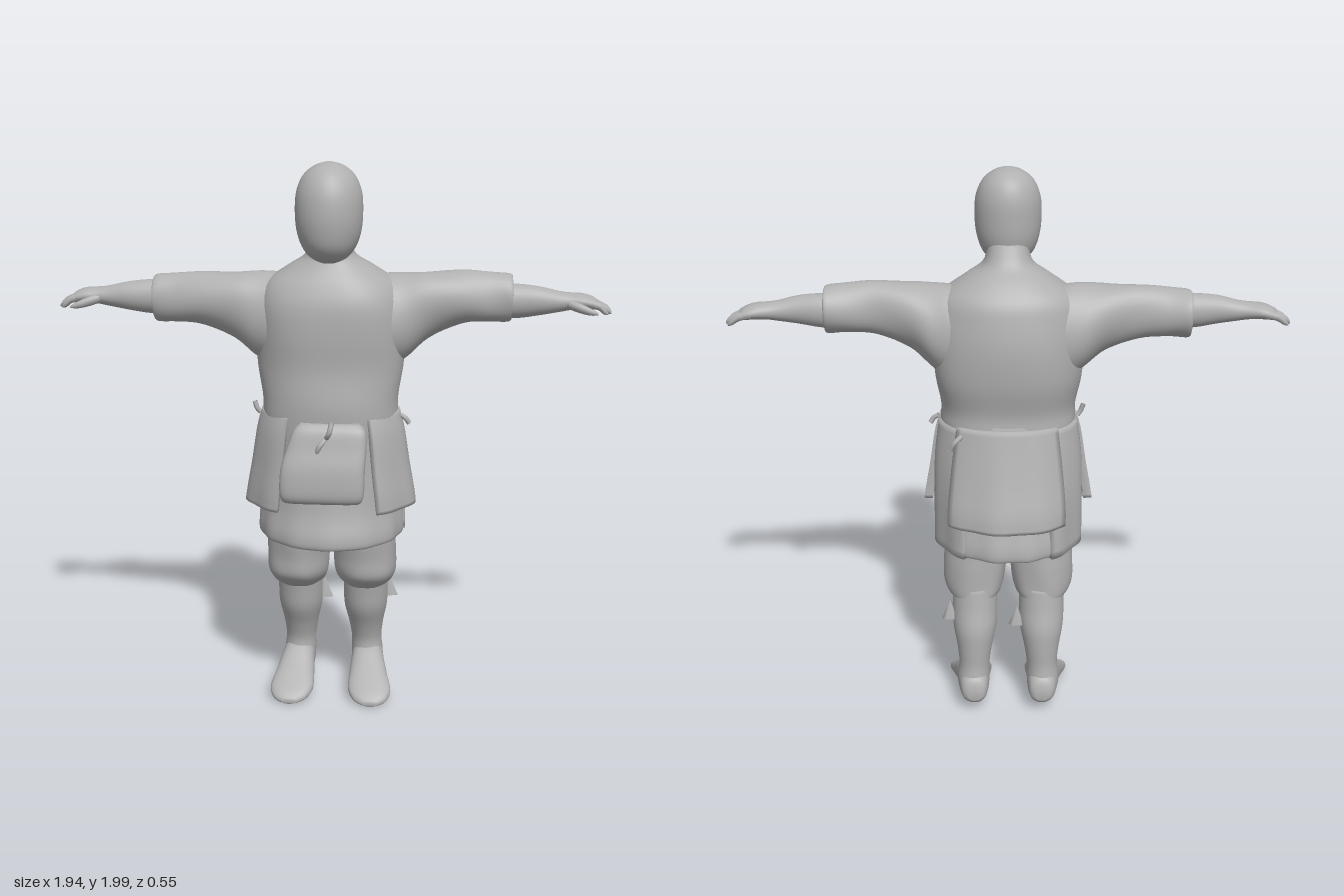
import * as THREE from 'three';

const cloth = new THREE.MeshStandardMaterial({ color: 0xb0b0b0, side: THREE.DoubleSide });
cloth.name = 'plain grey';

// Catmull-Rom interpolation of section rows
function blend(rows, t) {
  const n = rows.length - 1, i = Math.min(Math.floor(t * n), n - 1), f = t * n - i;
  const [p, q, r, s] = [-1, 0, 1, 2].map(k => rows[Math.max(0, Math.min(n, i + k))]);
  return q.map((b, k) => 0.5 * (2 * b + (r[k] - p[k]) * f + (2 * p[k] - 5 * b + 4 * r[k] - s[k]) * f * f
    + (3 * b - p[k] - 3 * r[k] + s[k]) * f * f * f));
}

// Closed skin over rings; point(t, u) gives a position, faces are turned outwards
function skin(name, point, rings = 28, sides = 32) {
  const pos = [], idx = [];
  for (let i = 0; i <= rings; i++)
    for (let j = 0; j < sides; j++) pos.push(...point(i / rings, j / sides));
  for (let i = 0; i < rings; i++)
    for (let j = 0; j < sides; j++) {
      const a = i * sides + j, b = i * sides + (j + 1) % sides;
      idx.push(a, b, a + sides, b, b + sides, a + sides);
    }
  for (const i of [0, rings]) {
    const c = [0, 0, 0], hub = pos.length / 3;
    for (let j = 0; j < sides; j++) for (let k = 0; k < 3; k++) c[k] += pos[(i * sides + j) * 3 + k] / sides;
    pos.push(...c);
    for (let j = 0; j < sides; j++) {
      const a = i * sides + j, b = i * sides + (j + 1) % sides;
      idx.push(...(i ? [a, b, hub] : [b, a, hub]));
    }
  }
  let volume = 0;
  const v = i => new THREE.Vector3().fromArray(pos, i * 3);
  for (let i = 0; i < idx.length; i += 3) volume += v(idx[i]).dot(v(idx[i + 1]).cross(v(idx[i + 2])));
  if (volume < 0) idx.reverse();
  const g = new THREE.BufferGeometry();
  g.setAttribute('position', new THREE.Float32BufferAttribute(pos, 3));
  g.setIndex(idx);
  g.computeVertexNormals();
  const m = new THREE.Mesh(g, cloth);
  m.name = name;
  return m;
}

// Loft along an axis; rows are [cx, cy, cz, radiusA, radiusB]
function loft(name, axis, rows, { side = 1, power = 1, fold = () => 0, rings = 28, sides = 32 } = {}) {
  const bend = c => Math.sign(c) * Math.abs(c) ** power;
  return skin(name, (t, u) => {
    const [x, y, z, ra, rb] = blend(rows, t), w = u * Math.PI * 2, k = 1 + fold(t, w);
    const a = bend(Math.sin(w)) * ra * k, b = bend(Math.cos(w)) * rb * k;
    const p = axis === 'y' ? [x + a, y, z + b] : axis === 'x' ? [x, y + a, z + b] : [x + a, y + b, z];
    return [p[0] * side, p[1], p[2]];
  }, rings, sides);
}

// Curved hanging cloth panel between two angles; rows are [y, cz, radiusX, radiusZ]
function panel(name, from, to, rows, side = 1, thick = 0.03) {
  return skin(name, (t, u) => {
    const [y, cz, rx, rz] = blend(rows, t);
    const outer = u < 0.5, s = outer ? u / 0.47 : (1 - u) / 0.5;
    const w = THREE.MathUtils.degToRad(from + (to - from) * Math.min(1, s));
    const d = (outer ? 0 : thick) - 0.004 * Math.sin(w * 11) * t;
    return [side * (rx - d) * Math.sin(w), y, cz + (rz - d) * Math.cos(w)];
  }, 14, 36);
}

export function createModel() {
  const g = new THREE.Group();
  g.name = 'robedFigure';

  g.add(loft('head', 'y', [
    [0, 1.665, 0.1, 0.03, 0.035], [0, 1.685, 0.105, 0.065, 0.07], [0, 1.72, 0.1, 0.092, 0.105],
    [0, 1.77, 0.1, 0.109, 0.12], [0, 1.83, 0.101, 0.115, 0.124], [0, 1.9, 0.098, 0.111, 0.118],
    [0, 1.955, 0.094, 0.088, 0.094], [0, 1.988, 0.092, 0.048, 0.052], [0, 2, 0.092, 0.006, 0.006]]));

  g.add(loft('tunic', 'y', [
    [0, 1.03, 0.015, 0.235, 0.18], [0, 1.12, 0.018, 0.24, 0.185], [0, 1.19, 0.02, 0.24, 0.184],
    [0, 1.3, 0.004, 0.258, 0.19], [0, 1.42, 0.005, 0.262, 0.196], [0, 1.52, 0.01, 0.255, 0.187],
    [0, 1.59, 0.008, 0.225, 0.165], [0, 1.645, 0.015, 0.15, 0.125], [0, 1.69, 0.035, 0.085, 0.088],
    [0, 1.76, 0.055, 0.07, 0.07]],
    { power: 0.88, rings: 40, sides: 48, fold: (t, w) => 0.008 * Math.sin(5 * w + 9 * t) * Math.sin(Math.PI * t) }));

  // Pleated underskirt with a hem turned inwards
  g.add(loft('underskirt', 'y', [
    [0, 1.15, 0.016, 0.235, 0.182], [0, 1.05, 0.01, 0.243, 0.195], [0, 0.93, 0, 0.248, 0.21],
    [0, 0.8, -0.008, 0.252, 0.23], [0, 0.71, -0.008, 0.262, 0.252], [0, 0.67, -0.008, 0.254, 0.245],
    [0, 0.685, -0.008, 0.2, 0.2], [0, 0.74, -0.008, 0.18, 0.17]],
    { rings: 36, sides: 96, fold: (t, w) => 0.022 * t * Math.sin(13 * w + 1) * (1 - 0.7 * Math.max(0, Math.cos(w))) }));

  // Overskirt panels
  for (const s of [1, -1])
    g.add(panel(s > 0 ? 'leftSidePanel' : 'rightSidePanel', 34, 87, [
      [1.14, 0.015, 0.245, 0.195], [1.07, 0.015, 0.265, 0.215], [0.95, 0.01, 0.285, 0.235],
      [0.86, 0.005, 0.302, 0.25], [0.8, 0, 0.312, 0.255]], s));
  g.add(panel('backPanel', 134, 224, [
    [1.14, 0, 0.25, 0.185], [1.06, 0, 0.265, 0.205], [0.95, 0, 0.283, 0.235],
    [0.85, -0.005, 0.295, 0.26], [0.79, -0.005, 0.295, 0.27]]));
  for (const s of [1, -1])
    g.add(panel(s > 0 ? 'leftRearPanel' : 'rightRearPanel', 95, 145, [
      [1.13, 0, 0.247, 0.18], [1, 0, 0.265, 0.21], [0.85, -0.005, 0.27, 0.245], [0.67, -0.005, 0.272, 0.265]], s));

  // Belt pouch with its tie
  g.add(loft('pouch', 'y', [
    [-0.015, 0.845, 0.225, 0.12, 0.015], [-0.015, 0.855, 0.228, 0.138, 0.036], [-0.015, 0.89, 0.23, 0.147, 0.046],
    [-0.012, 0.97, 0.225, 0.146, 0.046], [0, 1.04, 0.212, 0.138, 0.04], [0.01, 1.1, 0.202, 0.125, 0.034],
    [0.01, 1.125, 0.195, 0.1, 0.02]], { power: 0.5 }));
  const tie = (name, x, y, z, dx, dy) => {
    const path = new THREE.CatmullRomCurve3([new THREE.Vector3(x, y, z),
      new THREE.Vector3(x + dx * 0.6, y + dy * 0.4, z * 1.07), new THREE.Vector3(x + dx, y + dy, z * 1.03)]);
    const m = new THREE.Mesh(new THREE.TubeGeometry(path, 8, 0.009, 8), cloth);
    m.name = name;
    g.add(m);
  };
  tie('pouchTie', 0, 1.08, 0.235, -0.035, -0.06);
  tie('pouchTie', 0, 1.08, 0.235, 0.02, 0.06);
  tie('rearTie', 0.16, 1.12, -0.16, 0.04, -0.05);
  tie('sideTie', 0.25, 1.12, 0.04, 0.03, -0.03);
  tie('sideTie', -0.25, 1.12, 0.04, -0.02, 0.04);

  for (const side of [1, -1]) {
    const label = side > 0 ? 'left' : 'right', lift = side > 0 ? 0.008 : -0.008;

    // Wide sleeve with a turned cuff
    g.add(loft(label + 'Sleeve', 'x', [
      [0.12, 1.45, 0, 0.15, 0.13], [0.19, 1.45, 0, 0.165, 0.135], [0.26, 1.468, 0, 0.15, 0.118],
      [0.34, 1.507 + lift / 2, 0.005, 0.116, 0.094], [0.45, 1.528 + lift, 0.006, 0.094, 0.076],
      [0.55, 1.528 + lift, -0.008, 0.086, 0.073], [0.62, 1.528 + lift, -0.018, 0.083, 0.077],
      [0.622, 1.528 + lift, -0.012, 0.066, 0.06], [0.59, 1.525 + lift, 0, 0.05, 0.045]],
      { side, rings: 48, fold: (t, w) => 0.035 * Math.sin(3 * w + 16 * t) * Math.sin(Math.PI * t) }));

    // Forearm and hand
    g.add(loft(label + 'Forearm', 'x', [
      [0.55, 1.525, 0, 0.06, 0.052], [0.64, 1.525, 0, 0.06, 0.05], [0.72, 1.527, 0.004, 0.05, 0.044],
      [0.79, 1.525, 0, 0.036, 0.04], [0.83, 1.526, -0.004, 0.03, 0.042], [0.87, 1.526, -0.008, 0.027, 0.05],
      [0.905, 1.52, -0.01, 0.022, 0.049], [0.92, 1.515, -0.01, 0.014, 0.042]], { side }));
    for (let i = 0; i < 4; i++) {
      const z = -0.046 + i * 0.024, end = 0.96 + 0.012 * Math.sin(i * 1.2);
      g.add(loft(label + 'Finger', 'x', [
        [0.88, 1.523, z, 0.014, 0.013], [0.92, 1.515, z, 0.014, 0.013], [end - 0.015, 1.499, z, 0.013, 0.012],
        [end, 1.488, z, 0.004, 0.004]], { side, rings: 9, sides: 12 }));
    }
    g.add(loft(label + 'Thumb', 'x', [
      [0.81, 1.522, 0.02, 0.016, 0.016], [0.85, 1.511, 0.038, 0.017, 0.016], [0.89, 1.499, 0.05, 0.013, 0.012],
      [0.918, 1.492, 0.054, 0.004, 0.004]], { side, rings: 10, sides: 12 }));

    // Baggy breeches gathered under the knee
    g.add(loft(label + 'Breeches', 'y', [
      [0.12, 0.8, -0.02, 0.115, 0.14], [0.12, 0.66, -0.022, 0.117, 0.13], [0.123, 0.58, -0.03, 0.117, 0.126],
      [0.126, 0.51, -0.035, 0.113, 0.124], [0.125, 0.465, -0.055, 0.098, 0.105], [0.124, 0.44, -0.07, 0.075, 0.08]],
      { side, fold: (t, w) => 0.015 * Math.sin(6 * w + 5 * t) }));
    g.add(loft(label + 'Shin', 'y', [
      [0.124, 0.5, -0.07, 0.082, 0.09], [0.124, 0.42, -0.085, 0.083, 0.09], [0.124, 0.34, -0.102, 0.081, 0.092],
      [0.125, 0.26, -0.121, 0.066, 0.075], [0.127, 0.19, -0.132, 0.057, 0.064], [0.13, 0.13, -0.135, 0.06, 0.07],
      [0.13, 0.08, -0.14, 0.055, 0.065]], { side }));
    g.add(loft(label + 'Foot', 'z', [
      [0.126, 0.085, -0.222, 0.022, 0.018], [0.127, 0.1, -0.205, 0.046, 0.05], [0.13, 0.11, -0.15, 0.058, 0.068],
      [0.134, 0.1, -0.08, 0.063, 0.068], [0.14, 0.07, -0.01, 0.073, 0.05], [0.147, 0.045, 0.05, 0.08, 0.033],
      [0.151, 0.026, 0.095, 0.06, 0.02], [0.152, 0.016, 0.115, 0.025, 0.009]], { side, power: 0.85 }));
  }

  // Loose legging scraps
  for (const [x, y, z] of [[0.213, 0.405, -0.12], [-0.035, 0.385, -0.13]]) {
    const flap = new THREE.Mesh(new THREE.ConeGeometry(0.035, 0.08, 5), cloth);
    flap.name = 'leggingScrap';
    flap.scale.z = 0.4;
    flap.position.set(x, y, z);
    g.add(flap);
  }
  return g;
}
